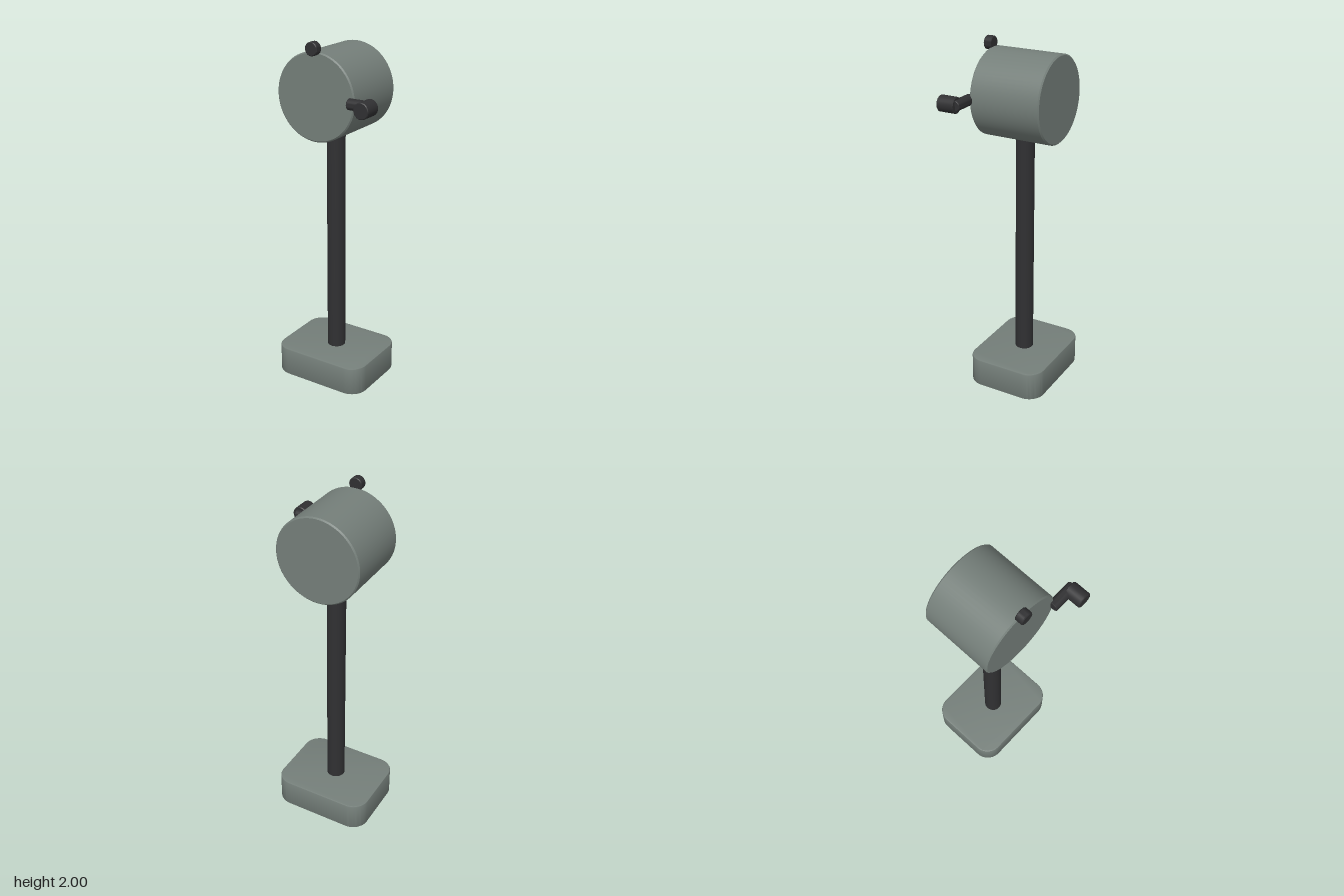
import * as THREE from 'three';
import { toCreasedNormals } from 'three/addons/utils/BufferGeometryUtils.js';

const bodyMat = new THREE.MeshStandardMaterial({ color: 0x747e79 });
const darkMat = new THREE.MeshStandardMaterial({ color: 0x303032 });

// Cylinder along y, centred, with a small chamfer on both rims
function chamferedCylinder(radius, length, bevel, segments) {
  const h = length / 2;
  const profile = [
    [0, -h], [radius - bevel, -h], [radius, -h + bevel],
    [radius, h - bevel], [radius - bevel, h], [0, h],
  ].map(([x, y]) => new THREE.Vector2(x, y));
  return toCreasedNormals(new THREE.LatheGeometry(profile, segments), 0.6);
}

function roundedRect(x0, x1, y0, y1, r) {
  const s = new THREE.Shape();
  s.absarc(x1 - r, y1 - r, r, 0, Math.PI / 2);
  s.absarc(x0 + r, y1 - r, r, Math.PI / 2, Math.PI);
  s.absarc(x0 + r, y0 + r, r, Math.PI, Math.PI * 1.5);
  s.absarc(x1 - r, y0 + r, r, Math.PI * 1.5, Math.PI * 2);
  s.closePath();
  return s;
}

export function createModel() {
  const group = new THREE.Group();
  const add = (name, geometry, material, x, y, z) => {
    const mesh = new THREE.Mesh(geometry, material);
    mesh.name = name;
    mesh.position.set(x, y, z);
    group.add(mesh);
    return mesh;
  };
  const axisX = -0.05, headY = 1.705;

  // Base slab with rounded corners
  const b = 0.006;
  const baseGeo = new THREE.ExtrudeGeometry(
    roundedRect(-0.34 + b, 0.238 - b, -0.19 + b, 0.273 - b, 0.09),
    { depth: 0.168 - 2 * b, bevelEnabled: true, bevelSize: b, bevelThickness: b, bevelSegments: 2, curveSegments: 8 }
  );
  baseGeo.rotateX(-Math.PI / 2);
  add('base', toCreasedNormals(baseGeo, 0.6), bodyMat, 0, b, 0);

  // Upright post, its ends sunk into base and drum
  add('post', chamferedCylinder(0.052, 1.4, 0.004, 32), darkMat, axisX, 0.82, -0.038);

  // Drum head, axis front to back
  add('drum', chamferedCylinder(0.24, 0.406, 0.007, 64), bodyMat, axisX, headY, -0.04)
    .rotation.x = Math.PI / 2;

  // Small knob on the top front edge
  add('topKnob', chamferedCylinder(0.037, 0.045, 0.004, 24), darkMat, axisX, 1.963, 0.175)
    .rotation.x = Math.PI / 2;

  // Crank: sideways arm and forward grip
  add('crankArm', chamferedCylinder(0.03, 0.15, 0.003, 24), darkMat, 0.24, headY, 0.175)
    .rotation.z = Math.PI / 2;
  add('crankGrip', chamferedCylinder(0.044, 0.1, 0.004, 24), darkMat, 0.294, headY, 0.221)
    .rotation.x = Math.PI / 2;

  return group;
}
